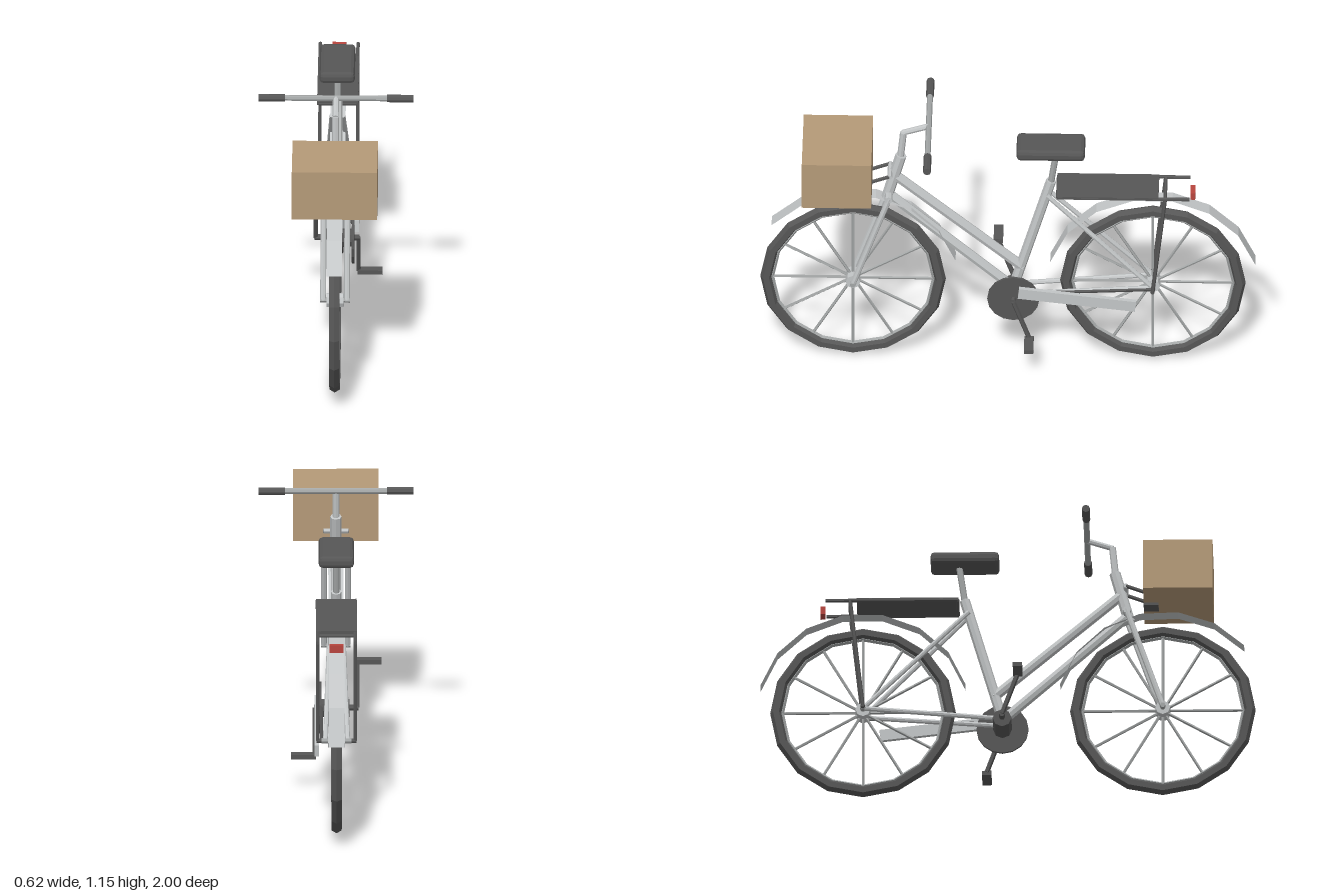
import * as THREE from 'three';
import { RoundedBoxGeometry } from 'three/addons/geometries/RoundedBoxGeometry.js';

const mat = (name, color, extra = {}) => {
  const m = new THREE.MeshStandardMaterial({ color, flatShading: true, ...extra });
  m.name = name;
  return m;
};

export function createModel() {
  const silver = mat('silver', 0xc3c6c7);
  const fenderSilver = mat('fenderSilver', 0xc3c6c7, { side: THREE.DoubleSide });
  const steel = mat('steel', 0xa3a6a6);
  const dark = mat('dark', 0x565656);
  const tan = mat('tan', 0xb59a78);
  const red = mat('red', 0xb8453e);

  const root = new THREE.Group();
  root.name = 'bicycle';
  const V = (x, y, z) => new THREE.Vector3(x, y, z);

  const add = (name, geometry, material, pos = V(0, 0, 0), parent = root) => {
    const m = new THREE.Mesh(geometry, material);
    m.name = name;
    m.position.copy(pos);
    parent.add(m);
    return m;
  };
  const box = (name, w, h, d, material, x, y, z) =>
    add(name, new THREE.BoxGeometry(w, h, d), material, V(x, y, z));
  // Straight tube between two points
  const rod = (name, a, b, r, material, sides = 8, parent = root) => {
    const dir = b.clone().sub(a);
    const m = add(name, new THREE.CylinderGeometry(r, r, dir.length(), sides), material,
      a.clone().add(b).multiplyScalar(0.5), parent);
    m.quaternion.setFromUnitVectors(V(0, 1, 0), dir.normalize());
    return m;
  };

  const axleY = 0.375, frontZ = 0.627, rearZ = -0.581;

  // Wheels: tyre, rim, hub and twelve spokes
  const wheel = (name, z) => {
    const g = new THREE.Group();
    g.name = name;
    g.position.set(0, axleY, z);
    root.add(g);
    const tyre = add('tyre', new THREE.TorusGeometry(0.35, 0.024, 6, 16), dark, V(0, 0, 0), g);
    const rim = add('rim', new THREE.TorusGeometry(0.326, 0.008, 4, 16), steel, V(0, 0, 0), g);
    tyre.rotation.y = rim.rotation.y = Math.PI / 2;
    rod('hub', V(-0.035, 0, 0), V(0.035, 0, 0), 0.03, silver, 8, g);
    rod('axle', V(-0.06, 0, 0), V(0.06, 0, 0), 0.011, steel, 6, g);
    for (let i = 0; i < 12; i++) {
      const a = (i * Math.PI) / 6;
      rod('spoke', V(0, 0, 0), V(0, Math.sin(a) * 0.327, Math.cos(a) * 0.327), 0.006, steel, 5, g);
    }
  };
  wheel('frontWheel', frontZ);
  wheel('rearWheel', rearZ);

  // Mudguards: flat faceted strips following each wheel
  const fender = (name, z, from, to, steps) => {
    const pos = [], idx = [];
    for (let i = 0; i <= steps; i++) {
      const a = THREE.MathUtils.degToRad(from + ((to - from) * i) / steps);
      const y = axleY + 0.428 * Math.sin(a), pz = z + 0.428 * Math.cos(a);
      pos.push(-0.031, y, pz, 0.031, y, pz);
      if (i < steps) {
        const k = i * 2;
        idx.push(k, k + 2, k + 1, k + 1, k + 2, k + 3);
      }
    }
    const g = new THREE.BufferGeometry();
    g.setAttribute('position', new THREE.Float32BufferAttribute(pos, 3));
    g.setIndex(idx);
    g.computeVertexNormals();
    add(name, g, fenderSilver);
  };
  fender('frontFender', frontZ, 165, 40, 6);
  fender('rearFender', rearZ, 165, 15, 7);

  // Frame tubes
  rod('headTube', V(0, 0.77, 0.493), V(0, 0.986, 0.434), 0.023, silver);
  rod('topTube', V(0, 0.89, 0.461), V(0, 0.44, -0.055), 0.021, silver);
  rod('downTube', V(0, 0.795, 0.485), V(0, 0.335, -0.02), 0.021, silver);
  rod('seatTube', V(0, 0.33, -0.016), V(0, 0.87, -0.171), 0.021, silver);
  rod('seatPost', V(0, 0.86, -0.17), V(0, 1.02, -0.193), 0.013, steel);
  rod('forkCrown', V(-0.058, 0.8, 0.483), V(0.058, 0.8, 0.483), 0.016, silver);

  for (const s of [-1, 1]) {
    rod('forkBlade', V(s * 0.048, axleY, frontZ), V(s * 0.048, 0.805, 0.48), 0.012, silver);
    rod('seatStay', V(s * 0.045, axleY, rearZ), V(s * 0.022, 0.81, -0.155), 0.01, silver);
    rod('chainStay', V(s * 0.045, axleY, rearZ), V(s * 0.035, 0.33, -0.03), 0.01, silver);
    // Rear rack rails and supports
    rod('rackRail', V(s * 0.076, 0.84, -0.2), V(s * 0.076, 0.84, -0.73), 0.008, dark, 6);
    rod('rackSupport', V(s * 0.076, 0.84, -0.632), V(s * 0.076, axleY, rearZ), 0.008, dark, 6);
    rod('rackFoot', V(s * 0.05, axleY, rearZ), V(s * 0.08, axleY, rearZ), 0.009, dark, 6);
    // Basket bracket arms
    rod('basketArm', V(s * 0.045, 0.91, 0.48), V(s * 0.045, 0.88, 0.56), 0.008, dark, 6);
    // Handlebar grips
    rod('grip', V(s * 0.205, 1.132, 0.322), V(s * 0.312, 1.132, 0.322), 0.016, dark);
    // Cranks point in opposite directions from the bottom bracket
    const end = V(s * 0.086, 0.327 - s * 0.18, -0.02 - s * 0.064);
    rod('crank', V(s * 0.086, 0.327, -0.02), end, 0.01, dark, 6);
    box('pedal', 0.1, 0.018, 0.038, dark, s * 0.132, end.y - 0.003, end.z);
  }

  // Stem and handlebar
  rod('stem', V(0, 0.98, 0.436), V(0, 1.1, 0.424), 0.014, silver);
  rod('stemReach', V(0, 1.098, 0.427), V(0, 1.132, 0.322), 0.012, silver);
  rod('handlebar', V(-0.21, 1.132, 0.322), V(0.21, 1.132, 0.322), 0.012, steel);

  // Saddle
  add('saddle', new RoundedBoxGeometry(0.142, 0.048, 0.276, 1, 0.016), dark, V(0, 1.036, -0.17));

  // Drivetrain
  rod('bottomBracket', V(-0.053, 0.325, -0.02), V(0.06, 0.325, -0.02), 0.038, dark);
  rod('crankAxle', V(-0.09, 0.327, -0.02), V(0.09, 0.327, -0.02), 0.012, dark, 6);
  rod('chainwheel', V(0.06, 0.327, -0.02), V(0.07, 0.327, -0.02), 0.105, dark, 16);
  rod('chain', V(0.06, 0.352, -0.1), V(0.06, 0.377, rearZ), 0.007, dark, 5);
  box('chainGuard', 0.018, 0.048, 0.475, silver, 0.079, 0.337, -0.277).rotation.x = -0.12;

  // Rear rack plate and tail light
  box('rackPlate', 0.164, 0.012, 0.41, dark, 0, 0.842, -0.4);
  rod('rackMount', V(-0.076, 0.84, -0.2), V(0.076, 0.84, -0.2), 0.008, dark, 6);
  rod('rackEnd', V(-0.076, 0.838, -0.632), V(0.076, 0.838, -0.632), 0.007, dark, 6);
  box('tailLight', 0.056, 0.032, 0.02, red, 0, 0.82, -0.742);

  // Front basket with its bracket
  box('basket', 0.344, 0.213, 0.28, tan, 0, 0.949, 0.69);
  box('basketBracket', 0.06, 0.014, 0.06, dark, 0, 0.839, 0.58);
  rod('bracketBar', V(-0.05, 0.91, 0.478), V(0.05, 0.91, 0.478), 0.01, silver, 6);

  return root;
}
